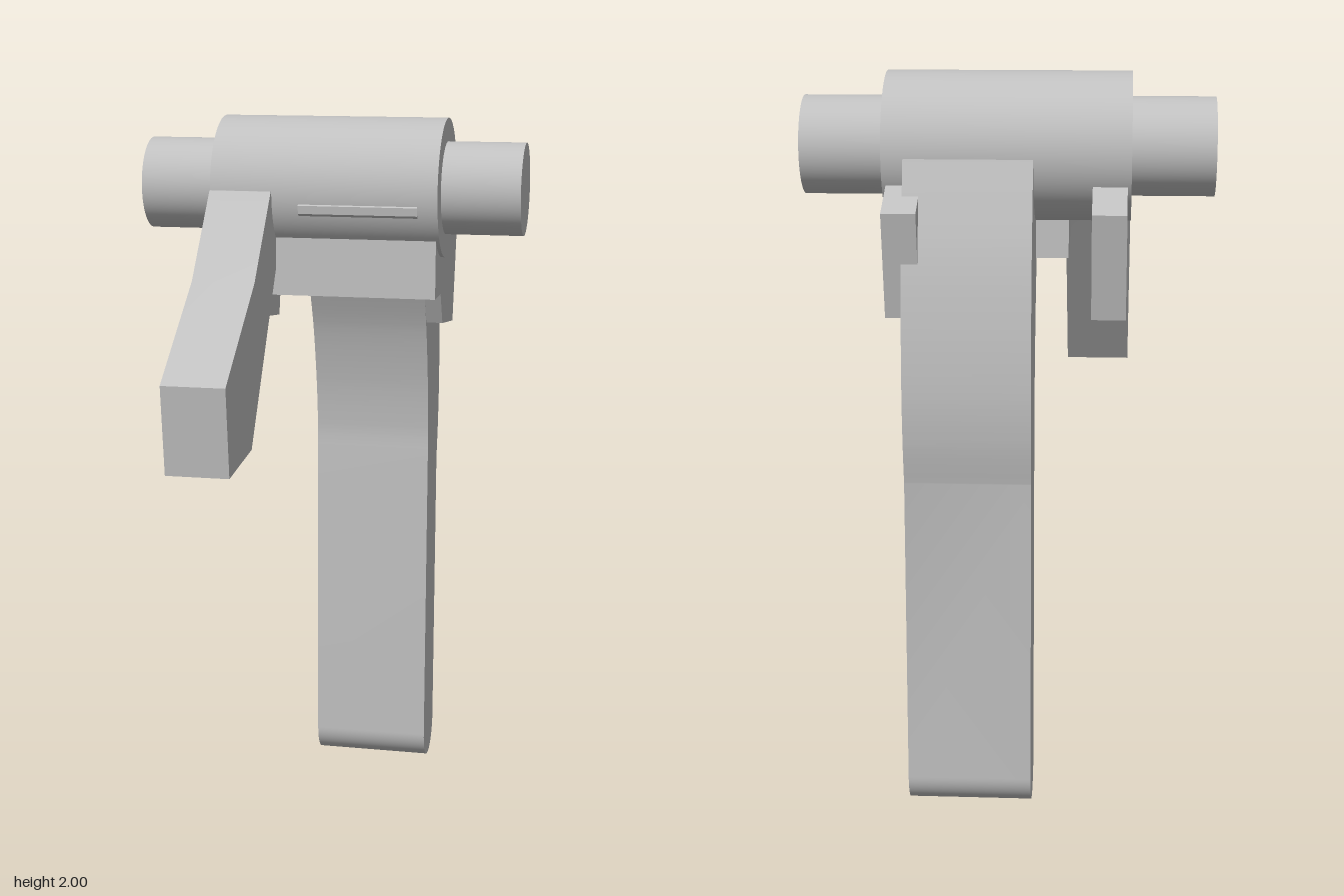
import * as THREE from 'three';
import { toCreasedNormals } from 'three/addons/utils/BufferGeometryUtils.js';

const AXIS_Y = 1.803, AXIS_Z = -0.215;

export function createModel() {
  const group = new THREE.Group();
  const metal = new THREE.MeshStandardMaterial({ color: 0xbfbfbf });
  metal.name = 'plain grey';

  const add = (name, geometry) => {
    const mesh = new THREE.Mesh(geometry, metal);
    mesh.name = name;
    group.add(mesh);
  };

  // Cylinder lying along x on the pivot axis
  const rod = (name, radius, x0, x1) => {
    const g = new THREE.CylinderGeometry(radius, radius, x1 - x0, 64);
    g.rotateZ(Math.PI / 2).translate((x0 + x1) / 2, AXIS_Y, AXIS_Z);
    add(name, g);
  };

  // Side profile drawn in (-z, y), extruded from x0 to x1
  const slab = (name, shape, x0, x1) => {
    const g = new THREE.ExtrudeGeometry(shape, { depth: x1 - x0, bevelEnabled: false, curveSegments: 16 });
    g.rotateY(Math.PI / 2).translate(x0, 0, 0);
    add(name, toCreasedNormals(g, 0.4));
  };
  const polygon = (points) => new THREE.Shape(points.map(([z, y]) => new THREE.Vector2(-z, y)));

  // Pivot
  rod('barrel', 0.197, -0.325, 0.322);
  rod('shaft', 0.131, -0.545, 0.545);

  // Bent front arm
  slab('frontArm', polygon([
    [-0.012, 1.803], [0.19, 1.575], [0.52, 1.35], [0.49, 1.1],
    [0.24, 1.12], [-0.07, 1.575], [-0.17, 1.72], [-0.17, 1.8],
  ]), -0.325, -0.148);

  // Mounting block under the barrel
  slab('block', polygon([
    [-0.072, 1.72], [-0.072, 1.503], [-0.23, 1.503], [-0.23, 1.72],
  ]), -0.16, 0.312);

  // Pair of rear lugs
  const lug = polygon([
    [-0.17, 1.72], [-0.17, 1.503], [-0.182, 1.503], [-0.23, 1.41],
    [-0.45, 1.38], [-0.515, 1.663], [-0.36, 1.732],
  ]);
  slab('rightLug', lug, -0.315, -0.225);
  slab('leftLug', lug, 0.222, 0.312);

  // Long curved lever with a rounded foot
  const v = (z, y) => new THREE.Vector2(-z, y);
  const lever = new THREE.Shape();
  lever.moveTo(0.298, 1.0);
  lever.lineTo(0.298, 0.094);
  lever.absarc(0.391, 0.093, 0.093, Math.PI, Math.PI * 2, false);
  lever.lineTo(0.484, 0.94);
  lever.splineThru([v(-0.506, 1.06), v(-0.515, 1.2), v(-0.505, 1.38), v(-0.475, 1.57), v(-0.408, 1.8)]);
  lever.lineTo(0.25, 1.85);
  lever.lineTo(0.1, 1.82);
  lever.lineTo(0.0165, 1.765);
  lever.lineTo(0.0195, 1.742);
  lever.lineTo(0.1, 1.69);
  lever.lineTo(0.18, 1.51);
  lever.splineThru([v(-0.235, 1.38), v(-0.277, 1.22), v(-0.297, 1.08), v(-0.298, 1.0)]);
  slab('lever', lever, -0.072, 0.265);

  return group;
}
